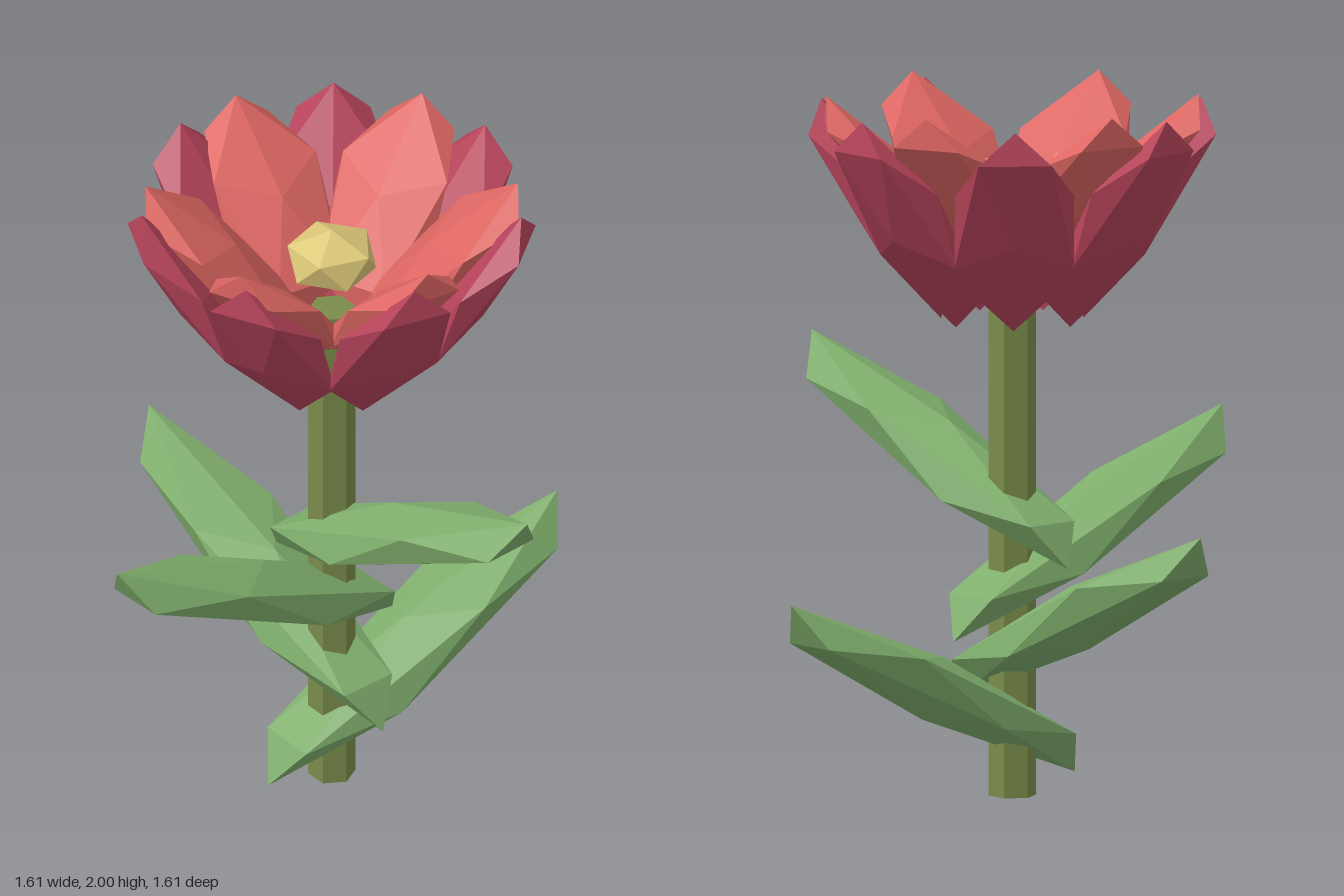
import * as THREE from 'three';

const flat = (name, color) => {
  const m = new THREE.MeshStandardMaterial({ color, flatShading: true });
  m.name = name;
  return m;
};

// Icosahedron standing on a corner, stretched to half sizes (length, thickness, width)
function gem(length, thickness, width) {
  const g = new THREE.IcosahedronGeometry(1, 0);
  g.rotateZ(-Math.atan2(2, 1 + Math.sqrt(5)));
  g.scale(length, thickness, width);
  return g;
}

// Ring of tilted blades set around the stem; p gives size, tilt, radius, height, rise, start, step
function blades(name, count, material, p) {
  const ring = new THREE.Group();
  ring.name = name + 's';
  const geometry = gem(...p.size);
  for (let i = 0; i < count; i++) {
    const arm = new THREE.Group();
    arm.name = name + (i + 1);
    arm.rotation.y = p.start + i * p.step;
    const blade = new THREE.Mesh(geometry, material);
    blade.name = name;
    blade.position.set(p.radius, p.height + i * p.rise, 0);
    blade.rotation.z = p.tilt;
    arm.add(blade);
    ring.add(arm);
  }
  return ring;
}

export function createModel() {
  const stemGreen = flat('stem green', 0x7a8c4a);
  const leafGreen = flat('leaf green', 0x7fae6c);
  const crimson = flat('outer petal crimson', 0xb5435a);
  const coral = flat('inner petal coral', 0xdd6662);
  const yellow = flat('core yellow', 0xdcc878);

  const flower = new THREE.Group();
  flower.name = 'flower';

  // Six-sided stem
  const stem = new THREE.Mesh(new THREE.CylinderGeometry(0.068, 0.068, 1.58, 6), stemGreen);
  stem.name = 'stem';
  stem.position.y = 0.79;
  flower.add(stem);

  // Four leaves spiralling up the stem
  flower.add(blades('leaf', 4, leafGreen, {
    size: [0.66, 0.094, 0.167], tilt: 0.435, radius: 0.29,
    height: 0.333, rise: 0.2073, start: 0, step: 1.6,
  }));

  // Outer and inner petal rings
  flower.add(blades('outerPetal', 7, crimson, {
    size: [0.394, 0.074, 0.198], tilt: 0.97, radius: 0.378,
    height: 1.665, rise: 0, start: 0, step: Math.PI * 2 / 7,
  }));
  flower.add(blades('innerPetal', 6, coral, {
    size: [0.36, 0.07, 0.197], tilt: Math.PI / 4, radius: 0.32,
    height: 1.75, rise: 0, start: 0.4, step: Math.PI / 3,
  }));

  // Core
  const core = new THREE.Mesh(gem(0.14, 0.09, 0.14), yellow);
  core.name = 'core';
  core.position.y = 1.755;
  flower.add(core);

  return flower;
}
